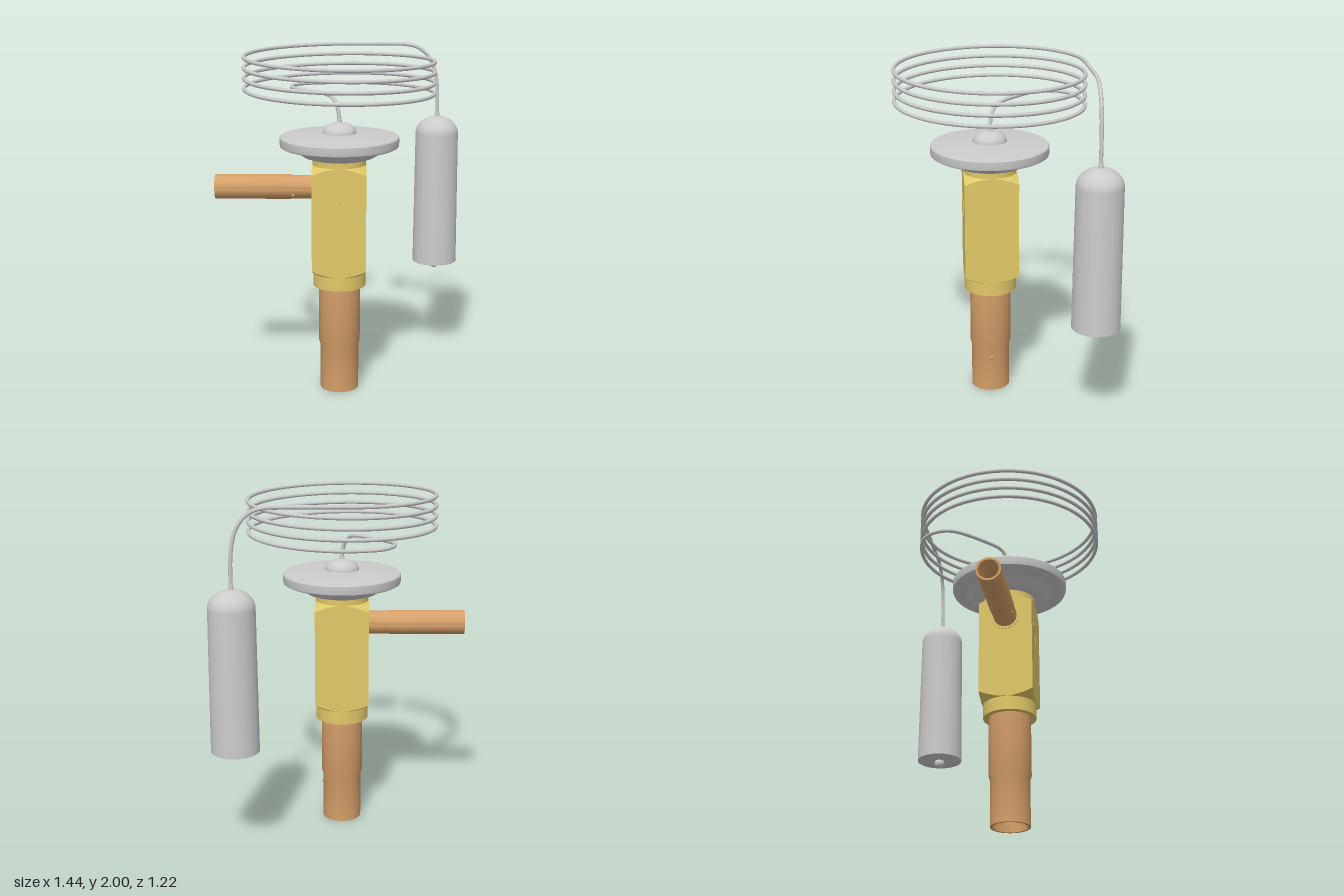
import * as THREE from 'three';
import { toCreasedNormals } from 'three/addons/utils/BufferGeometryUtils.js';

const CX = -0.006, CZ = 0.063;            // main valve axis
const BULB = { x: 0.582, z: -0.478 };     // sensing bulb axis

const steel = new THREE.MeshStandardMaterial({ color: 0xcccccc });
const brass = new THREE.MeshStandardMaterial({ color: 0xe0c868 });
const copper = new THREE.MeshStandardMaterial({ color: 0xd59f69 });

function part(parent, name, geometry, material, x = 0, y = 0, z = 0) {
  const mesh = new THREE.Mesh(geometry, material);
  mesh.name = name;
  mesh.position.set(x, y, z);
  parent.add(mesh);
  return mesh;
}

// Turned part from [radius, height] pairs, with hard edges kept sharp
function turned(profile, segments = 64) {
  const points = profile.map(([r, y]) => new THREE.Vector2(r, y));
  return toCreasedNormals(new THREE.LatheGeometry(points, segments), 0.5);
}

// Quarter-ellipse profile from the rim (r, y) up to the axis
function dome(r, y, height, n = 12) {
  return Array.from({ length: n + 1 }, (_, i) => {
    const a = (i / n) * Math.PI / 2;
    return [i === n ? 0 : r * Math.cos(a), y + height * Math.sin(a)];
  });
}

// Square bar whose ends are turned to a cone, leaving curved chamfers
function chamferedBar(half, y0, y1) {
  const geo = new THREE.CylinderGeometry(1, 1, 1, 96, 3);
  const pos = geo.attributes.position;
  for (let i = 0; i < pos.count; i++) {
    const x = pos.getX(i), z = pos.getZ(i), y = pos.getY(i);
    const len = Math.hypot(x, z);
    if (len < 1e-6) { pos.setY(i, y > 0 ? y1 : y0); continue; }
    const corner = half * len / Math.max(Math.abs(x), Math.abs(z));
    const end = Math.abs(y) > 0.4;
    const r = end ? half : corner;
    const drop = end ? 0 : (corner - half) * 0.6;
    pos.setXYZ(i, x / len * r, y > 0 ? y1 - drop : y0 + drop, z / len * r);
  }
  return toCreasedNormals(geo, 0.4);
}

// Capillary: rises from the head, winds four turns, then drops to the bulb
function capillaryCurve() {
  const R = 0.535, y0 = 1.755, y1 = 1.989, lead = 0.4, turns = 4;
  const pts = [
    [CX, 1.59, CZ], [CX - 0.003, 1.64, CZ - 0.003], [CX - 0.016, 1.70, CZ - 0.014],
    [CX - 0.045, 1.74, CZ - 0.042], [CX - 0.09, 1.752, CZ - 0.086],
    [-0.18, y0, -0.105], [-0.25, y0, -0.178], [-0.287, y0, -0.235],
    [-0.297, y0, -0.295], [-0.282, y0, -0.355], [-0.255, y0, -0.395],
  ];
  const end = turns * Math.PI * 2, steps = 200;
  for (let i = 0; i <= steps; i++) {
    const a = -lead + (end + lead) * i / steps;
    pts.push([CX + R * Math.sin(a), y0 + (y1 - y0) * Math.max(0, a) / end, CZ - R * Math.cos(a)]);
  }
  pts.push(
    [0.15, y1, -0.475], [0.3, y1, BULB.z], [0.39, y1 - 0.003, BULB.z],
    [0.455, 1.97, BULB.z], [0.51, 1.93, BULB.z], [0.55, 1.868, BULB.z],
    [0.571, 1.79, BULB.z], [0.58, 1.71, BULB.z], [BULB.x, 1.63, BULB.z], [BULB.x, 1.54, BULB.z],
  );
  const curve = new THREE.CatmullRomCurve3(pts.map(p => new THREE.Vector3(...p)));
  curve.arcLengthDivisions = 3000;
  return curve;
}

// Bent flow arrow in the xy plane
function arrowGeometry() {
  const s = new THREE.Shape();
  s.moveTo(-0.095, 1.2);
  s.lineTo(-0.05, 1.2);
  s.quadraticCurveTo(0.012, 1.195, 0.012, 1.1);
  s.lineTo(0.035, 1.1);
  s.lineTo(0, 1.03);
  s.lineTo(-0.035, 1.1);
  s.lineTo(-0.012, 1.1);
  s.quadraticCurveTo(-0.012, 1.172, -0.055, 1.175);
  s.lineTo(-0.095, 1.175);
  s.closePath();
  return new THREE.ExtrudeGeometry(s, { depth: 0.004, bevelEnabled: false, curveSegments: 8 });
}

export function createModel() {
  const model = new THREE.Group();
  model.name = 'expansionValve';

  // Valve body with its collars and flow arrow
  const valve = new THREE.Group();
  valve.name = 'valve';
  valve.position.set(CX, 0, CZ);
  model.add(valve);
  part(valve, 'body', chamferedBar(0.155, 0.72, 1.36), brass);
  part(valve, 'lowerCollar', turned([[0, 0.64], [0.153, 0.64], [0.153, 0.725], [0, 0.725]]), brass);
  part(valve, 'upperCollar', turned([[0, 1.35], [0.153, 1.35], [0.153, 1.41], [0, 1.41]]), brass);
  part(valve, 'flowArrow', arrowGeometry(), brass, 0, 0, 0.154);

  // Lower pipe, stepped and open at the bottom
  part(valve, 'lowerPipe', turned([
    [0, 0.4], [0.099, 0.4], [0.099, 0], [0.113, 0], [0.113, 0.27], [0.121, 0.295], [0.121, 0.65],
  ]), copper);
  part(valve, 'lowerPipeDimple', new THREE.SphereGeometry(0.014, 16, 12), copper, 0.105, 0.217, 0);

  // Side pipe, open at its outer end
  const side = new THREE.Group();
  side.name = 'sidePipe';
  side.position.set(0, 1.225, 0);
  side.rotation.z = Math.PI / 2;
  valve.add(side);
  part(side, 'sidePipeTube', turned([
    [0.068, 0.14], [0.068, 0.27], [0.071, 0.28], [0.071, 0.714], [0.058, 0.714], [0.058, 0.2], [0, 0.2],
  ], 48), copper);
  part(side, 'sidePipeSocket', turned([[0.082, 0.15], [0.082, 0.158], [0.06, 0.158]], 48), brass);
  part(side, 'sidePipeDimple', new THREE.SphereGeometry(0.01, 16, 12), copper, -0.038, 0.264, 0.057);

  // Diaphragm head with a small dome on top
  part(valve, 'diaphragmHead', turned([
    [0, 1.398], [0.175, 1.398], [0.205, 1.408], [0.235, 1.428], [0.25, 1.442], [0.27, 1.449],
    [0.325, 1.459], [0.338, 1.466], [0.341, 1.478], [0.341, 1.515], [0.336, 1.522],
    [0.25, 1.531], [0.17, 1.537], [0.1, 1.54], ...dome(0.098, 1.54, 0.062),
  ], 80), steel);
  part(valve, 'headNipple', new THREE.CylinderGeometry(0.012, 0.017, 0.035, 20), steel, 0, 1.607, 0);

  // Capillary coil
  part(model, 'capillaryTube', new THREE.TubeGeometry(capillaryCurve(), 800, 0.011, 10), steel);

  // Sensing bulb
  const bulb = new THREE.Group();
  bulb.name = 'sensingBulb';
  bulb.position.set(BULB.x, 0, BULB.z);
  model.add(bulb);
  part(bulb, 'bulbShell', turned([[0, 0.63], [0.136, 0.63], [0.13, 1.44], ...dome(0.13, 1.445, 0.105)]), steel);
  part(bulb, 'bulbNipple', new THREE.CylinderGeometry(0.012, 0.017, 0.035, 20), steel, 0, 1.56, 0);
  part(bulb, 'bulbTip', new THREE.SphereGeometry(0.031, 24, 16), steel, 0, 0.613, 0);

  return model;
}
